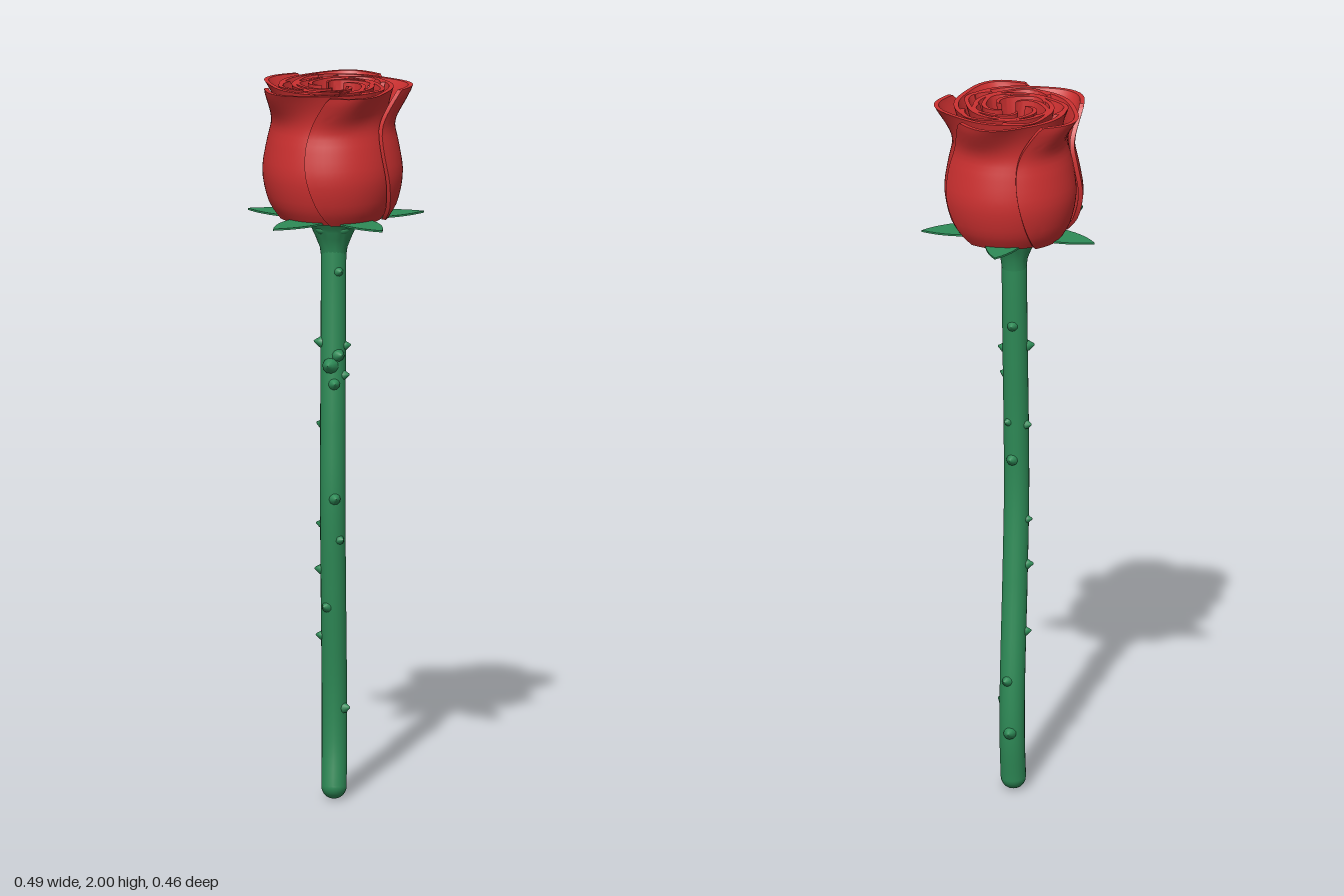
import * as THREE from 'three';
import { toCreasedNormals, mergeVertices } from 'three/addons/utils/BufferGeometryUtils.js';

const GREEN = new THREE.MeshStandardMaterial({ color: 0x2e8b57 });
const RED = new THREE.MeshStandardMaterial({ color: 0xcc3030 });
const DEG = Math.PI / 180;

function add(parent, name, geometry, material) {
  const mesh = new THREE.Mesh(geometry, material);
  mesh.name = name;
  parent.add(mesh);
  return mesh;
}

// Outline of the bud: radius and height
const budProfile = new THREE.SplineCurve([
  [0.152, 1.632], [0.182, 1.68], [0.199, 1.76], [0.188, 1.84], [0.174, 1.9], [0.176, 1.95], [0.19, 2],
].map(([r, y]) => new THREE.Vector2(r, y)));

// A thick curved wall that spirals inwards, with a lip that rolls outwards
function petalGeometry({ scale, span, taper, hook, curl, lean }) {
  const cols = 28, rows = 20, thick = 0.013, ring = 2 * (cols + 1);
  const pos = [], index = [];
  for (let j = 0; j <= rows; j++) {
    const v = j / rows;
    const p = budProfile.getPoint(v);
    const lip = THREE.MathUtils.smoothstep(v, 0.6, 1);
    for (let k = 0; k < ring; k++) {
      const outer = k <= cols;
      const u = (outer ? k : ring - 1 - k) / cols;
      const roll = curl * lip * Math.exp(-(((u - 0.2) / 0.18) ** 2));
      const r = p.x * scale * (1 - taper * u - hook * u ** 5) + roll - (outer ? 0 : thick);
      const a = (u * span - (1 - u) * lean * Math.sin(Math.PI * v)) * DEG;
      pos.push(r * Math.cos(a), p.y, -r * Math.sin(a));
    }
  }
  const quad = (a, b, c, d) => index.push(a, b, c, a, c, d);
  for (let j = 0; j < rows; j++) {
    for (let k = 0; k < ring; k++) {
      const a = j * ring + k, b = j * ring + (k + 1) % ring;
      quad(a, b, b + ring, a + ring);
    }
  }
  // Rims closing the wall at the top and bottom
  const top = rows * ring;
  for (let k = 0; k < cols; k++) {
    const m = ring - 1 - k;
    quad(top + k, top + k + 1, top + m - 1, top + m);
    quad(m, m - 1, k + 1, k);
  }
  const g = new THREE.BufferGeometry();
  g.setAttribute('position', new THREE.Float32BufferAttribute(pos, 3));
  g.setIndex(index);
  return toCreasedNormals(g, 45 * DEG);
}

export function createModel() {
  const model = new THREE.Group();
  model.name = 'rose';

  // Gently bent stem with rounded foot
  const path = new THREE.CatmullRomCurve3([
    [0.035, 0.015], [0.15, 0], [0.3, 0.002], [0.6, 0.036], [0.85, 0.058], [1.05, 0.053],
    [1.25, 0.041], [1.45, 0.03], [1.62, 0.025],
  ].map(([y, z]) => new THREE.Vector3(0, y, z)));
  add(model, 'stem', new THREE.TubeGeometry(path, 64, 0.035, 20), GREEN);
  add(model, 'stemFoot', new THREE.SphereGeometry(0.035, 20, 14), GREEN).position.copy(path.getPoint(0));

  // Thorns: height, direction around the stem in degrees, size
  const thorns = new THREE.Group();
  thorns.name = 'thorns';
  model.add(thorns);
  const thornShape = new THREE.LatheGeometry([
    [0.016, -0.012], [0.014, 0.004], [0.008, 0.013], [0.003, 0.021], [0, 0.023],
  ].map(([r, y]) => new THREE.Vector2(r, y)), 10);
  const centre = new THREE.Vector3();
  const spots = [
    [0.17, -90, 1.2], [0.25, 30, 1], [0.32, -75, 1], [0.45, 175, 0.9], [0.54, 120, 1], [0.64, 180, 1],
    [0.73, 50, 0.9], [0.77, 190, 0.8], [0.85, 75, 1.1], [0.95, -80, 1.1], [1.05, 200, 0.9], [1.06, -60, 0.8],
    [1.17, 80, 1.1], [1.19, 20, 0.9], [1.22, 100, 1.5], [1.25, 60, 1.2], [1.28, 170, 1.1], [1.27, 5, 0.9],
    [1.35, -90, 1], [1.48, 60, 0.9],
  ];
  for (const [y, deg, size] of spots) {
    let t = 0;
    while (path.getPoint(t, centre).y < y) t += 0.002;
    const out = new THREE.Vector3(Math.cos(deg * DEG), 0.15, Math.sin(deg * DEG)).normalize();
    const thorn = add(thorns, 'thorn', thornShape, GREEN);
    thorn.position.copy(centre).addScaledVector(out, 0.033);
    thorn.quaternion.setFromUnitVectors(new THREE.Vector3(0, 1, 0), out);
    thorn.scale.set(size, 0.85 * size, size);
  }

  // Flared cup under the bud
  const cup = [[0.034, 1.52], [0.038, 1.55], [0.05, 1.58], [0.059, 1.6], [0.062, 1.608], [0.07, 1.618], [0.078, 1.634], [0, 1.634]];
  const cupGeometry = new THREE.LatheGeometry(cup.map(([r, y]) => new THREE.Vector2(r, y)), 30);
  add(model, 'calyx', toCreasedNormals(cupGeometry, 40 * DEG), GREEN).position.z = 0.025;
  for (let i = 0; i < 5; i++) {
    const a = (i * 72 + 54) * DEG;
    const lobe = add(model, 'calyxLobe', new THREE.SphereGeometry(0.022, 14, 10), GREEN);
    lobe.position.set(0.043 * Math.cos(a), 1.607, 0.025 + 0.043 * Math.sin(a));
    lobe.scale.y = 0.7;
  }

  // Five flat pointed sepals
  const leaf = new THREE.Shape();
  leaf.moveTo(0, 0);
  leaf.bezierCurveTo(0.05, 0.02, 0.085, 0.15, 0, 0.256);
  leaf.bezierCurveTo(-0.085, 0.15, -0.05, 0.02, 0, 0);
  const leafGeometry = new THREE.ExtrudeGeometry(leaf, { depth: 0.005, bevelEnabled: false, curveSegments: 16 });
  leafGeometry.rotateX(-Math.PI / 2);
  for (let i = 0; i < 5; i++) {
    const sepal = add(model, 'sepal', leafGeometry, GREEN);
    sepal.position.set(0, 1.634, 0.023);
    sepal.rotation.y = i * 72 * DEG;
  }

  // Three whorls of five overlapping petals
  const bud = new THREE.Group();
  bud.name = 'bud';
  model.add(bud);
  const whorls = [
    { name: 'outerPetal', start: -89, scale: 1, span: 130, taper: 0.2, hook: 0, curl: 0.034, lean: 22 },
    { name: 'middlePetal', start: -53, scale: 0.72, span: 130, taper: 0.2, hook: 0, curl: 0.024, lean: 18 },
    { name: 'innerPetal', start: -75, scale: 0.53, span: 125, taper: 0.2, hook: 0.32, curl: 0.016, lean: 12 },
  ];
  for (const whorl of whorls) {
    const geometry = petalGeometry(whorl);
    for (let i = 0; i < 5; i++) {
      add(bud, whorl.name, geometry, RED).rotation.y = (whorl.start + i * 72) * DEG;
    }
  }
  return model;
}
